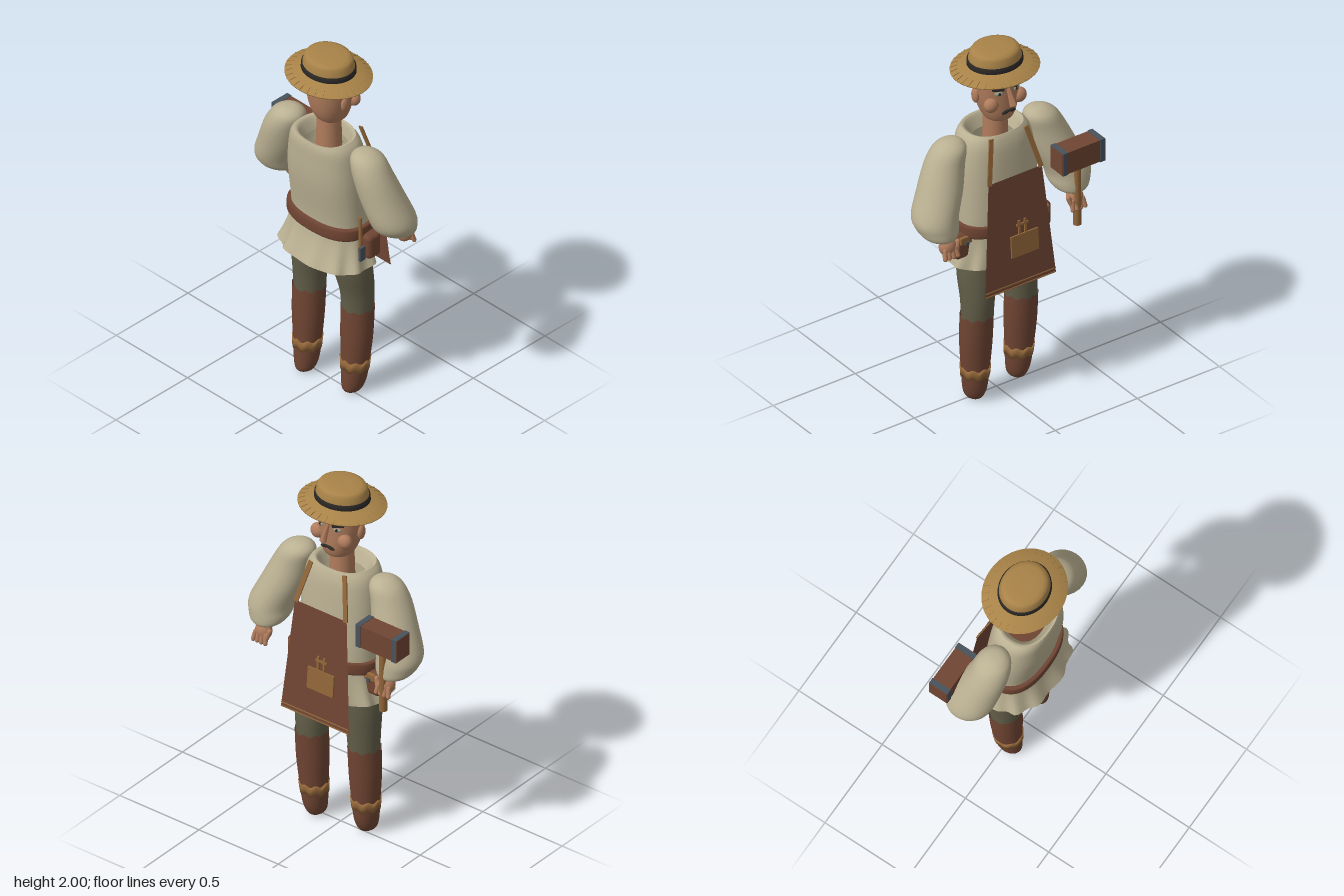
import * as THREE from 'three';
import { RoundedBoxGeometry } from 'three/addons/geometries/RoundedBoxGeometry.js';

const mat = (name, color, side = THREE.FrontSide) => {
  const m = new THREE.MeshStandardMaterial({ color, side });
  m.name = name;
  return m;
};

// Smooth loft through horizontal rings [y, cx, cz, rx, rz], listed bottom to top.
function loft(rows, { seg = 32, steps = 4, power = 2, capBottom = true, capTop = true, warp } = {}) {
  const rings = [];
  const cr = (a, b, c, d, t) => 0.5 * (2 * b + (c - a) * t + (2 * a - 5 * b + 4 * c - d) * t * t + (3 * b - a - 3 * c + d) * t ** 3);
  for (let i = 0; i < rows.length - 1; i++) {
    const q = [-1, 0, 1, 2].map(k => rows[Math.min(rows.length - 1, Math.max(0, i + k))]);
    for (let s = 0; s < steps; s++) rings.push(rows[0].map((_, k) => cr(q[0][k], q[1][k], q[2][k], q[3][k], s / steps)));
  }
  rings.push(rows[rows.length - 1]);
  const pos = [], idx = [];
  const round = v => Math.sign(v) * Math.abs(v) ** (2 / power);
  rings.forEach(([y, cx, cz, rx, rz], j) => {
    for (let i = 0; i < seg; i++) {
      const a = i / seg * Math.PI * 2;
      const [k, dy] = warp ? warp(a, j / (rings.length - 1)) : [1, 0];
      pos.push(cx + rx * k * round(Math.cos(a)), y + dy, cz + rz * k * round(Math.sin(a)));
      if (j < rings.length - 1) {
        const p = j * seg + i, n = j * seg + (i + 1) % seg;
        idx.push(p, p + seg, n, n, p + seg, n + seg);
      }
    }
  });
  const cap = (r, j, top) => {
    const c = pos.length / 3;
    pos.push(r[1], r[0], r[2]);
    for (let i = 0; i < seg; i++) {
      const p = j * seg + i, n = j * seg + (i + 1) % seg;
      idx.push(c, ...(top ? [n, p] : [p, n]));
    }
  };
  if (capBottom) cap(rings[0], 0, false);
  if (capTop) cap(rings[rings.length - 1], rings.length - 1, true);
  const g = new THREE.BufferGeometry();
  g.setAttribute('position', new THREE.Float32BufferAttribute(pos, 3));
  g.setIndex(idx);
  g.computeVertexNormals();
  return g;
}

export function createModel() {
  const skin = mat('skin', 0xb07c5c), straw = mat('straw', 0xa98348, THREE.DoubleSide), dark = mat('black', 0x2b2826);
  const linen = mat('linen', 0xbab092, THREE.DoubleSide), cloth = mat('trouser cloth', 0x625e49);
  const leather = mat('brown leather', 0x704533, THREE.DoubleSide), tan = mat('tan leather', 0x926639);
  const steel = mat('steel', 0x48525b), eye = mat('eye', 0x9aa090);

  const model = new THREE.Group();
  model.name = 'craftsman';
  // Figure is built facing +z, then turned to face +x.
  const body = new THREE.Group();
  body.name = 'figure';
  body.rotation.y = Math.PI / 2;
  model.add(body);

  const add = (name, geo, material, p = [0, 0, 0], r = [0, 0, 0], s = [1, 1, 1], parent = body) => {
    const m = new THREE.Mesh(geo, material);
    m.name = name;
    m.position.set(...p); m.rotation.set(...r); m.scale.set(...s);
    parent.add(m);
    return m;
  };
  const box = (w, h, d) => new THREE.BoxGeometry(w, h, d);
  const ball = new THREE.SphereGeometry(1, 20, 14);

  // Legs, boots and ankle straps
  for (const s of [-1, 1]) {
    const side = s < 0 ? 'right' : 'left', dz = s < 0 ? 0.02 : -0.02;
    add(side + 'TrouserLeg', loft([[0.46, s * 0.148, 0.022 + dz, 0.08, 0.078], [0.6, s * 0.145, 0.022 + dz, 0.088, 0.086],
      [0.75, s * 0.135, 0.01 + dz / 2, 0.102, 0.098], [0.92, s * 0.115, 0, 0.105, 0.1]], { seg: 24 }), cloth);
    add(side + 'Boot', loft([[0, s * 0.144, -0.01 + dz, 0.022, 0.03], [0.02, s * 0.144, -0.01 + dz, 0.046, 0.055],
      [0.08, s * 0.146, 0 + dz, 0.062, 0.068], [0.2, s * 0.148, 0.008 + dz, 0.074, 0.073],
      [0.35, s * 0.15, 0.015 + dz, 0.085, 0.08], [0.51, s * 0.15, 0.022 + dz, 0.086, 0.084]],
      { seg: 36, capTop: false, warp: (a, t) => [1, t > 0.99 ? 0.008 * Math.cos(9 * a) : 0] }), leather);
    add(side + 'AnkleStrap', loft([[0.145, s * 0.147, 0.005 + dz, 0.074, 0.076], [0.2, s * 0.148, 0.008 + dz, 0.079, 0.078]],
      { seg: 36, steps: 2, warp: a => [1, 0.008 * Math.cos(8 * a)] }), tan);
  }
  add('hips', loft([[0.8, 0, 0, 0.12, 0.07], [0.88, 0, 0, 0.2, 0.11], [1, 0, 0, 0.2, 0.12]]), cloth);

  // Tunic with an open collar and a rippled skirt
  add('tunic', loft([[1.0, 0, 0.005, 0.225, 0.14], [1.1, 0, 0.002, 0.225, 0.143], [1.3, 0, -0.018, 0.222, 0.15],
    [1.45, 0, -0.027, 0.205, 0.145], [1.51, 0, -0.033, 0.187, 0.137], [1.54, 0, -0.036, 0.16, 0.126]],
    { seg: 40, power: 2.4, capBottom: false, capTop: false }), linen);
  add('tunicCollar', loft([[1.47, 0, -0.025, 0.11, 0.09], [1.53, 0, -0.034, 0.14, 0.112], [1.54, 0, -0.036, 0.16, 0.126]],
    { seg: 40, power: 2.4, capBottom: false, capTop: false }), linen);
  add('tunicSkirt', loft([[0.815, 0, -0.018, 0.272, 0.182], [0.88, 0, -0.008, 0.25, 0.163], [0.95, 0, 0, 0.234, 0.147], [1.02, 0, 0.005, 0.225, 0.14]],
    { seg: 72, power: 2.3, capBottom: false, capTop: false, warp: (a, t) => [1 + 0.045 * (1 - t) * Math.cos(11 * a), 0.006 * (1 - t) * Math.cos(11 * a)] }), linen);
  add('belt', loft([[0.99, 0, 0, 0.24, 0.152], [1.0, 0, 0, 0.245, 0.158], [1.048, 0, 0, 0.245, 0.158], [1.058, 0, 0, 0.24, 0.152]],
    { seg: 40, steps: 1, power: 2.4 }), leather);

  // Belt pouches with flaps and tool handles
  for (const s of [-1, 1]) {
    const side = s < 0 ? 'right' : 'left';
    add(side + 'Pouch', new RoundedBoxGeometry(0.095, 0.14, 0.09, 3, 0.025), leather, [s * 0.245, 0.945, 0.025]);
    add(side + 'PouchFlap', new RoundedBoxGeometry(0.075, 0.045, 0.02, 2, 0.008), tan, [s * 0.235, 0.985, 0.068]);
    add(side + 'PouchClasp', box(0.02, 0.02, 0.01), steel, [s * 0.235, 0.97, 0.08]);
  }
  add('toolHandle', new THREE.CylinderGeometry(0.009, 0.011, 0.24, 10), tan, [-0.245, 1.01, -0.035]);
  add('toolBlade', box(0.012, 0.08, 0.035), steel, [-0.262, 0.92, -0.04]);

  // Apron: flat sloping panel, pocket, tools, hem and straps
  const apron = new THREE.Group();
  apron.name = 'apron';
  apron.position.set(0, 1, 0.184);
  apron.rotation.x = -0.075;
  body.add(apron);
  const panel = new THREE.Shape([[-0.215, -0.3], [0.215, -0.3], [0.163, 0.325], [-0.163, 0.325]].map(p => new THREE.Vector2(...p)));
  add('apronPanel', new THREE.ShapeGeometry(panel), leather, [0, 0, 0], [0, 0, 0], [1, 1, 1], apron);
  add('apronPocket', box(0.165, 0.12, 0.009), tan, [0.03, -0.065, 0.01], [0, 0, 0], [1, 1, 1], apron);
  for (const x of [0.005, 0.042]) add('pocketTool', box(0.012, 0.09, 0.008), tan, [x, 0.025, 0.006], [0, 0, 0], [1, 1, 1], apron);
  add('pocketToolBar', box(0.07, 0.012, 0.008), tan, [0.024, 0.045, 0.006], [0, 0, 0], [1, 1, 1], apron);
  for (const y of [-0.275, -0.296]) add('hemStitch', box(0.425, 0.005, 0.004), tan, [0, y, 0.003], [0, 0, 0], [1, 1, 1], apron);
  for (const s of [-1, 1]) {
    const strap = add('apronStrap', box(0.026, 0.24, 0.007), tan, [s * 0.132, 1.432, 0.133]);
    strap.quaternion.setFromUnitVectors(new THREE.Vector3(0, 1, 0), new THREE.Vector3(s * -0.05, 0.22, -0.055).normalize());
  }

  // Arms and hands
  for (const s of [-1, 1]) {
    const side = s < 0 ? 'right' : 'left';
    add(side + 'Sleeve', loft([[1.07, s * 0.395, 0.105, 0.05, 0.05], [1.085, s * 0.398, 0.085, 0.085, 0.08], [1.12, s * 0.4, 0.055, 0.108, 0.11],
      [1.18, s * 0.4, 0.035, 0.118, 0.122], [1.3, s * 0.352, 0.01, 0.117, 0.115], [1.42, s * 0.31, -0.012, 0.105, 0.102],
      [1.5, s * 0.278, -0.016, 0.09, 0.085], [1.535, s * 0.267, -0.018, 0.055, 0.052], [1.546, s * 0.265, -0.018, 0.02, 0.02]], { seg: 28 }), linen);
    const hand = new THREE.Group();
    hand.name = side + 'Hand';
    hand.position.set(s * 0.388, 1.045, 0.125);
    body.add(hand);
    const part = (n, g, p, r, sc) => add(n, g, skin, p, r, sc, hand);
    part('wrist', new THREE.CylinderGeometry(0.038, 0.038, 0.09, 16), [0, 0.03, -0.02], [-0.5, 0, 0]);
    part('palm', ball, [0, -0.01, 0], [0, 0, 0], [0.046, 0.05, 0.04]);
    for (let i = 0; i < 4; i++)
      part('finger', new THREE.CapsuleGeometry(0.012, 0.045, 4, 10), [(i - 1.5) * 0.023, -0.036, 0.03], [-0.25, 0, (i - 1.5) * 0.1]);
    part('thumb', new THREE.CapsuleGeometry(0.013, 0.04, 4, 10), [s * -0.044, -0.01, 0.02], [-0.2, 0, s * 0.3]);
  }

  // Mallet in the left hand
  add('malletHandle', new THREE.CylinderGeometry(0.02, 0.022, 0.37, 10), tan, [0.385, 1.075, 0.15]);
  add('malletHead', box(0.26, 0.125, 0.104), leather, [0.385, 1.31, 0.155]);
  for (const s of [-1, 1]) add('malletBand', box(0.03, 0.13, 0.11), steel, [0.385 + s * 0.113, 1.31, 0.155]);

  // Neck and head
  add('neck', new THREE.CylinderGeometry(0.06, 0.066, 0.2, 24), skin, [0, 1.55, -0.01]);
  add('head', loft([[1.605, 0, 0.012, 0.055, 0.06], [1.62, 0, 0.01, 0.074, 0.08], [1.67, 0, 0.004, 0.095, 0.1],
    [1.74, 0, -0.003, 0.112, 0.109], [1.83, 0, -0.008, 0.12, 0.113], [1.91, 0, -0.01, 0.118, 0.112]], { power: 2.2 }), skin);
  add('hair', loft([[1.835, 0, -0.045, 0.123, 0.082], [1.91, 0, -0.045, 0.123, 0.082]], { power: 2.5, steps: 1 }), dark);
  for (const s of [-1, 1]) {
    add('ear', ball, skin, [s * 0.118, 1.75, -0.015], [0, 0, 0], [0.016, 0.042, 0.026]);
    add('cheek', ball, skin, [s * 0.085, 1.725, 0.075], [0, 0, 0], [0.04, 0.04, 0.034]);
    add('eye', ball, eye, [s * 0.053, 1.788, 0.092], [0, s * 0.4, 0], [0.022, 0.013, 0.01]);
    add('pupil', ball, dark, [s * 0.052, 1.788, 0.1], [0, s * 0.4, 0], [0.008, 0.009, 0.004]);
    add('eyebrow', box(0.06, 0.022, 0.02), dark, [s * 0.058, 1.822, 0.096], [0, s * 0.45, s * 0.1]);
    add('moustache', ball, dark, [s * 0.018, 1.676, 0.106], [0, 0, s * -0.2], [0.025, 0.009, 0.009]);
  }
  add('nose', new THREE.CylinderGeometry(0.012, 0.024, 0.1, 4), skin, [0, 1.77, 0.122], [-0.5, Math.PI / 4, 0].map((v, i) => i === 1 ? 0 : v), [0.9, 1, 0.9]);

  // Straw hat with band and stitched brim
  const hat = new THREE.Group();
  hat.name = 'hat';
  hat.position.z = -0.012;
  hat.scale.z = 0.87;
  body.add(hat);
  const lathe = (name, pts, m) => add(name, new THREE.LatheGeometry(pts.map(p => new THREE.Vector2(...p)), 48), m, [0, 0, 0], [0, 0, 0], [1, 1, 1], hat);
  lathe('crown', [[0.142, 1.9], [0.14, 1.94], [0.132, 1.975], [0.122, 1.99], [0.1, 1.997], [0.05, 2], [0, 2]], straw);
  lathe('hatBand', [[0.141, 1.91], [0.148, 1.912], [0.146, 1.938], [0.138, 1.941]], dark);
  lathe('brim', [[0.13, 1.892], [0.18, 1.89], [0.234, 1.875], [0.235, 1.881], [0.185, 1.9], [0.142, 1.912]], straw);
  for (let i = 0; i < 32; i++) {
    const a = i / 32 * Math.PI * 2;
    const stitch = new THREE.Group();
    stitch.rotation.y = a;
    stitch.name = 'brimStitch';
    hat.add(stitch);
    add('stitch', box(0.004, 0.006, 0.04), straw, [0, 1.89, 0.214], [0.36, 0, 0], [1, 1, 1], stitch);
  }
  return model;
}
